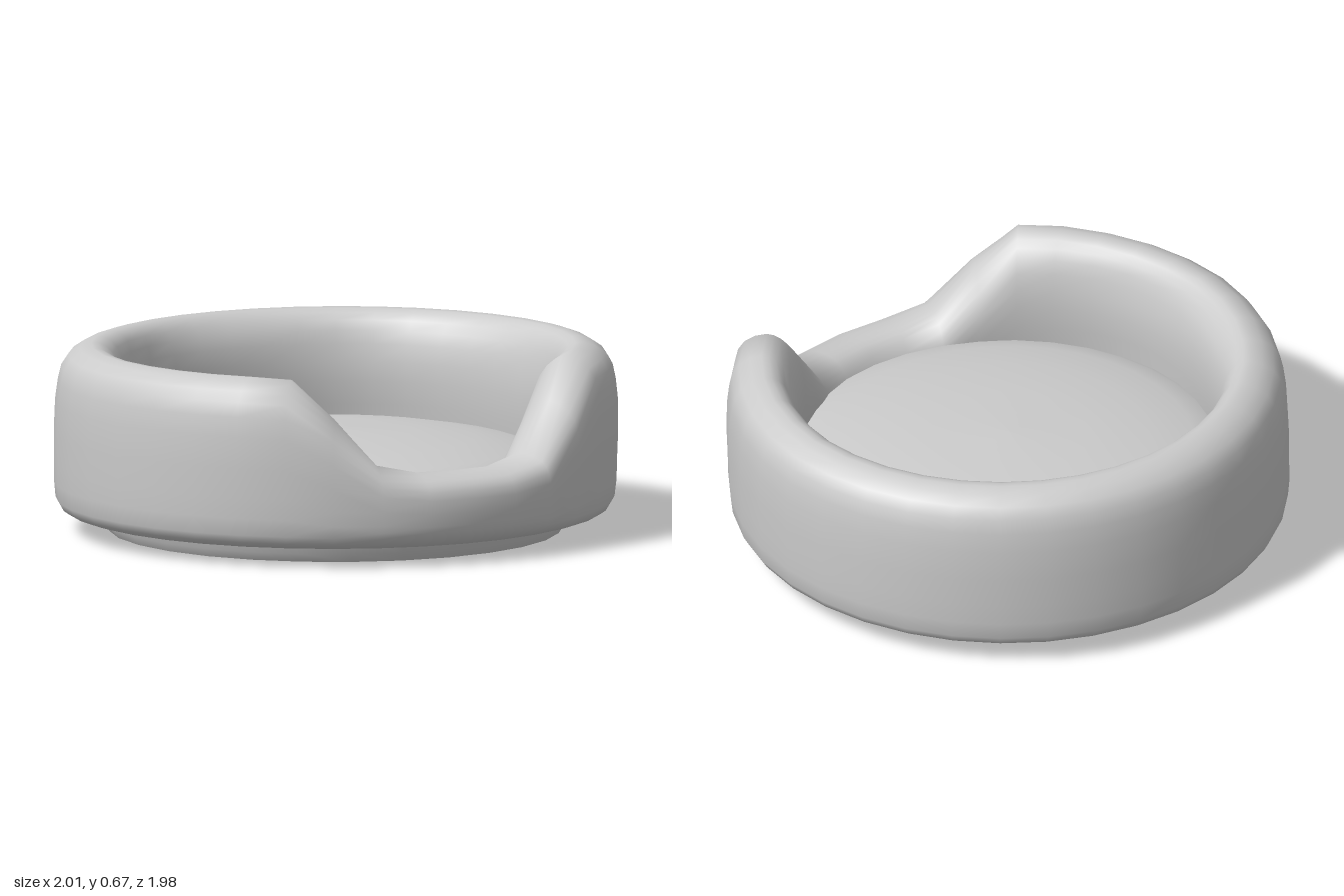
import * as THREE from 'three';

const BOTTOM = 0.068, SEGMENTS = 36, SECTION = 28;

// Height of the bolster's crest; angle 0 is the front entrance
function crestHeight(a) {
  const deg = Math.abs(THREE.MathUtils.radToDeg(Math.atan2(Math.sin(a), Math.cos(a))));
  const t = THREE.MathUtils.clamp((deg - 15) / 27, 0, 1);
  return 0.32 + 0.345 * (t * t * (3 - 2 * t));
}

// Closed cross-section of the bolster (radius, height) at one angle
function bolsterSection(a) {
  const h = crestHeight(a);
  const mid = f => BOTTOM + (h - BOTTOM) * f;
  const inner = 0.75 + 0.012 * Math.cos(5 * a);
  const soft = Math.min(1, (h - BOTTOM) / 0.5);
  const points = [
    [0.82, BOTTOM], [0.94, BOTTOM], [0.985, 0.1], [1, mid(0.3)], [1, mid(0.72)],
    [0.97, h - 0.05 * soft], [0.88, h], [0.82, h - 0.02 * soft],
    [inner + 0.022, h - 0.1 * soft], [inner, mid(0.58)], [inner + 0.015, mid(0.25)], [0.785, BOTTOM + 0.01],
  ].map(([r, y]) => {
    // the back leans slightly inward towards the top
    const lean = 0.035 * Math.max(0, -Math.cos(a)) * (y - BOTTOM) / 0.6;
    return new THREE.Vector3(r - lean, y, 0);
  });
  return new THREE.CatmullRomCurve3(points, true, 'centripetal');
}

// Sweep the changing cross-section around the bed
function bolsterGeometry() {
  const positions = [], index = [];
  for (let i = 0; i < SEGMENTS; i++) {
    const a = i / SEGMENTS * Math.PI * 2;
    const curve = bolsterSection(a);
    for (let j = 0; j < SECTION; j++) {
      const p = curve.getPoint(j / SECTION);
      positions.push(p.x * Math.sin(a), p.y, p.x * Math.cos(a) * 0.99);
      const i2 = (i + 1) % SEGMENTS, j2 = (j + 1) % SECTION;
      const A = i * SECTION + j, B = i2 * SECTION + j, C = i2 * SECTION + j2, D = i * SECTION + j2;
      index.push(A, B, C, A, C, D);
    }
  }
  const g = new THREE.BufferGeometry();
  g.setAttribute('position', new THREE.Float32BufferAttribute(positions, 3));
  g.setIndex(index);
  g.computeVertexNormals();
  return g;
}

function lathe(profile, segments) {
  return new THREE.LatheGeometry(profile.map(([r, y]) => new THREE.Vector2(r, y)), segments);
}

export function createModel() {
  const group = new THREE.Group();
  const solid = new THREE.MeshStandardMaterial({ color: 0xcccccc, roughness: 0.9 });
  const thin = new THREE.MeshStandardMaterial({ color: 0xcccccc, roughness: 0.9, side: THREE.DoubleSide });

  const add = (name, geometry, material) => {
    const mesh = new THREE.Mesh(geometry, material);
    mesh.name = name;
    group.add(mesh);
  };

  // Padded ring wall with a dip at the front
  add('bolster', bolsterGeometry(), solid);

  // Gently domed sleeping cushion, open underneath
  add('cushion', lathe([[0.79, 0.245], [0.74, 0.275], [0.66, 0.3], [0.5, 0.33], [0.28, 0.352], [0, 0.36]], SEGMENTS), thin);

  // Shallow open skirt that the bed stands on
  add('baseSkirt', lathe([[0.8, 0], [0.82, 0.03], [0.835, 0.085]], 28), thin);

  return group;
}
